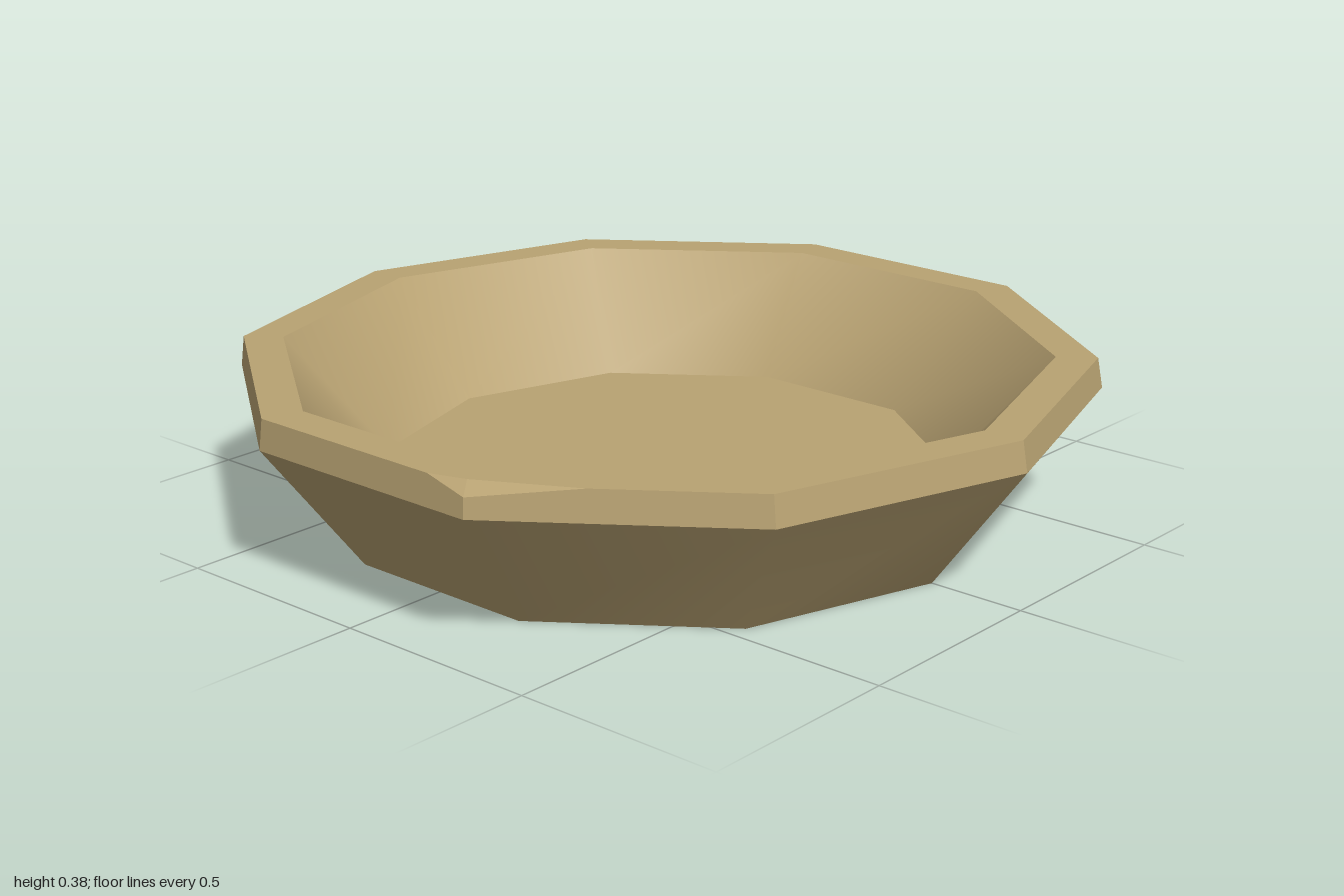
import * as THREE from 'three';

const SIDES = 10;

// Ten-sided ring of points, counter-clockwise seen from above, starting at the front
function ring(radius, y, dz = 0) {
  return Array.from({ length: SIDES }, (_, i) => {
    const a = (i / SIDES) * Math.PI * 2;
    return new THREE.Vector3(1.012 * radius * Math.sin(a), y, radius * Math.cos(a) + dz);
  });
}

// Smooth wall between two rings, facing outward when the second ring is the upper one
function wall(lower, upper) {
  const geo = new THREE.BufferGeometry().setFromPoints([...lower, ...upper]);
  const index = [];
  for (let i = 0; i < SIDES; i++) {
    const j = (i + 1) % SIDES;
    index.push(i, j, SIDES + j, i, SIDES + j, SIDES + i);
  }
  geo.setIndex(index);
  geo.computeVertexNormals();
  return geo;
}

// Flat convex polygons, each with its own normals
function facets(polygons) {
  const points = [];
  for (const p of polygons) {
    for (let i = 1; i < p.length - 1; i++) points.push(p[0], p[i], p[i + 1]);
  }
  const geo = new THREE.BufferGeometry().setFromPoints(points);
  geo.computeVertexNormals();
  return geo;
}

export function createModel() {
  const clay = new THREE.MeshStandardMaterial({ color: 0xb8a272 });
  clay.name = 'clay';

  const group = new THREE.Group();
  group.name = 'bowl';
  const add = (name, geo) => {
    const mesh = new THREE.Mesh(geo, clay);
    mesh.name = name;
    group.add(mesh);
  };

  const foot = ring(0.77, 0);
  const widest = ring(1, 0.31);
  const lip = ring(0.99, 0.38, -0.003);
  const mouth = ring(0.895, 0.38, -0.004);
  const floor = ring(0.655, 0.11, -0.003);

  // Body
  add('outerWall', wall(foot, widest));
  add('base', facets([[...foot].reverse()]));
  add('innerWall', wall(mouth, floor));
  add('innerFloor', facets([floor]));

  // Small chip broken from one corner of the rim
  const chipped = 8;
  const chipBack = lip[chipped].clone().lerp(lip[chipped - 1], 0.17);
  const chipFront = lip[chipped].clone().lerp(lip[chipped + 1], 0.4);
  const chipInner = new THREE.Vector3(-0.925, 0.38, 0.285);
  const chipCorner = lip[chipped].clone().lerp(widest[chipped], 0.36);
  add('rimChip', facets([
    [chipBack, chipCorner, chipInner],
    [chipCorner, chipFront, chipInner],
  ]));

  // Rim sides, flat on each of the ten edges
  const sides = [];
  for (let i = 0; i < SIDES; i++) {
    const j = (i + 1) % SIDES;
    const top = [lip[j], lip[i]];
    if (j === chipped) top.splice(0, 1, chipCorner, chipBack);
    if (i === chipped) top.splice(1, 1, chipFront, chipCorner);
    sides.push([widest[i], widest[j], ...top]);
  }
  add('rimSide', facets(sides));

  // Flat top of the rim
  const flat = (p) => new THREE.Vector2(p.x, -p.z);
  const outline = [...lip];
  outline.splice(chipped, 1, chipBack, chipInner, chipFront);
  const shape = new THREE.Shape(outline.map(flat));
  shape.holes.push(new THREE.Path(mouth.map(flat)));
  add('rimTop', new THREE.ShapeGeometry(shape).rotateX(-Math.PI / 2).translate(0, 0.38, 0));

  return group;
}
